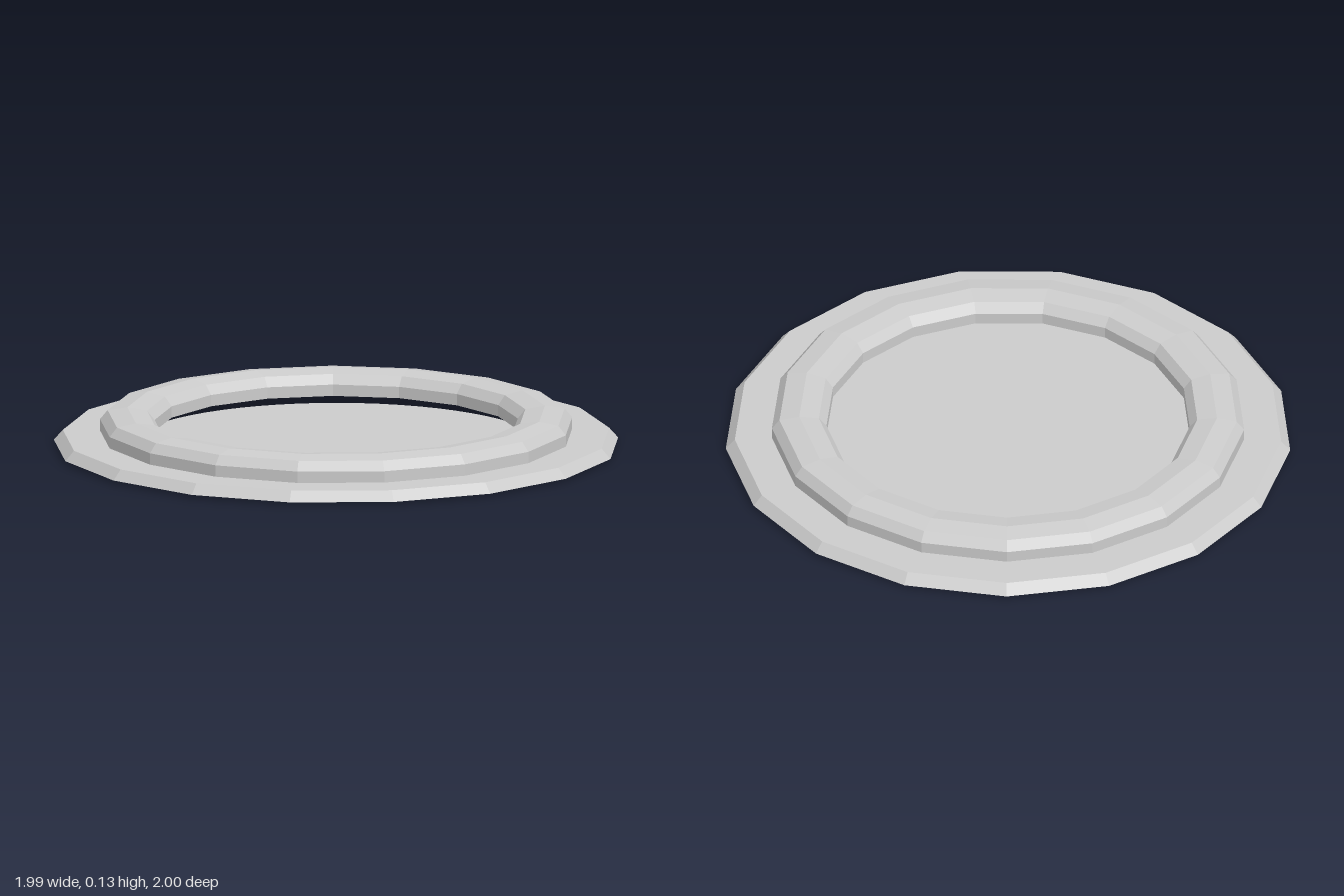
import * as THREE from 'three';

const SIDES = 17;

export function createModel() {
  const model = new THREE.Group();
  const material = new THREE.MeshStandardMaterial({
    color: 0xcccccc, flatShading: true, side: THREE.DoubleSide,
  });

  // Open shell turned from [radius, height] pairs, with one corner on +x
  function addRing(name, profile) {
    const points = profile.map(([r, y]) => new THREE.Vector2(r, y));
    const mesh = new THREE.Mesh(new THREE.LatheGeometry(points, SIDES, Math.PI / 2), material);
    mesh.name = name;
    model.add(mesh);
  }

  // Flat outer flange with a bevelled edge
  addRing('flange', [[1.004, 0.01], [0.972, 0.046], [0.84, 0.046]]);

  // Raised rim, symmetric about its crest and open underneath
  const crest = 0.743;
  const half = [[0.097, 0.046], [0.097, 0.087], [0.07, 0.12]];
  addRing('raisedRim', [
    ...half.map(([d, y]) => [crest + d, y]),
    [crest, 0.131],
    ...half.map(([d, y]) => [crest - d, y]).reverse(),
  ]);

  // Thin round panel closing the middle
  const panel = new THREE.Mesh(new THREE.CircleGeometry(0.743, 64), material);
  panel.name = 'basePanel';
  panel.rotation.x = -Math.PI / 2;
  model.add(panel);

  // An odd-sided ring is off balance in x, so centre its outline
  for (const part of model.children) part.position.x = -0.0085;
  return model;
}
